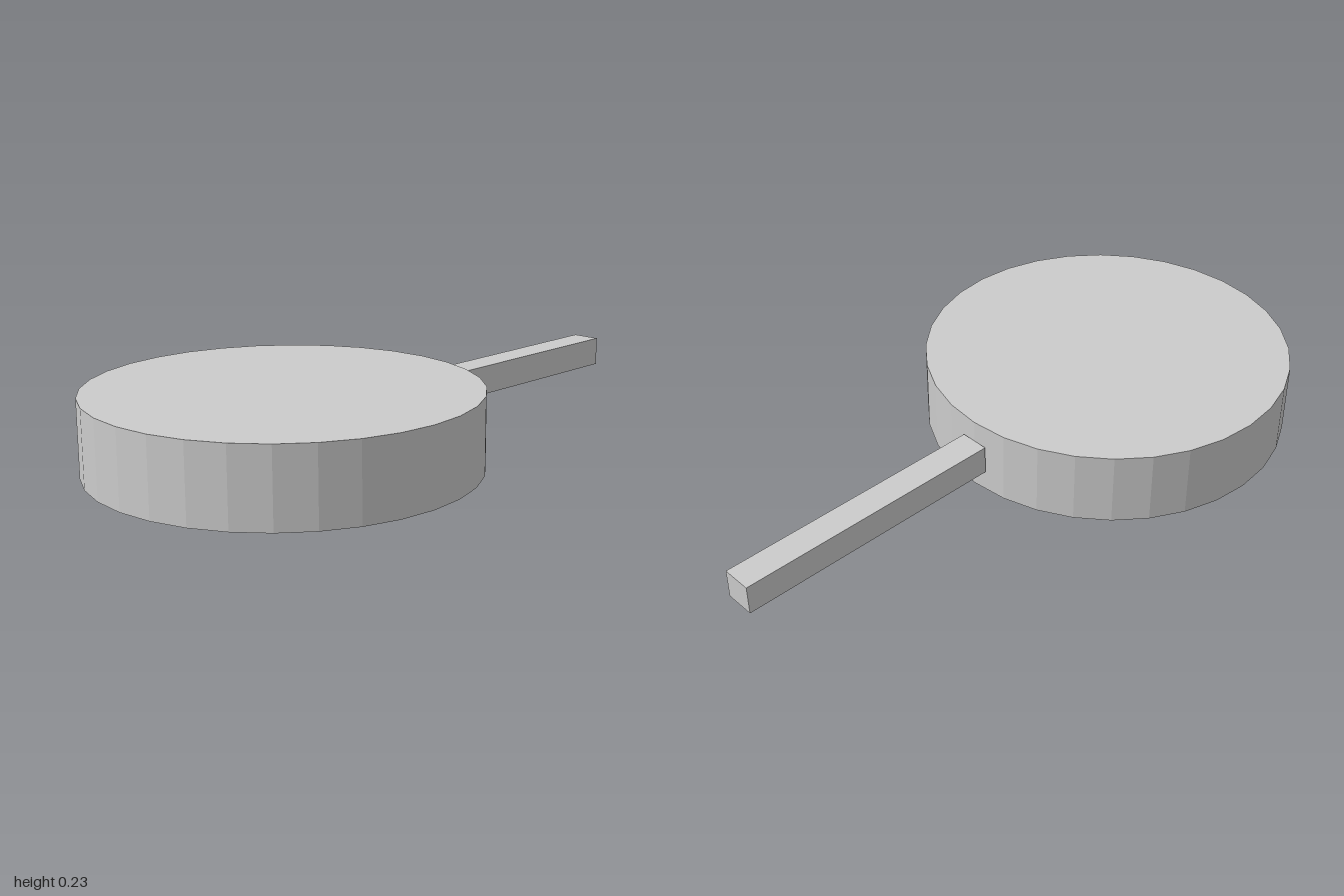
import * as THREE from 'three';

export function createModel() {
  const group = new THREE.Group();
  const material = new THREE.MeshStandardMaterial({ color: 0xcccccc, flatShading: true });
  const radius = 0.5714, height = 0.2286;
  const handleLength = 0.857, handleWidth = 0.0914;

  function addPart(name, geometry, x) {
    const mesh = new THREE.Mesh(geometry, material);
    mesh.name = name;
    mesh.position.set(x, height / 2, 0);
    group.add(mesh);
  }

  // Round, closed pan body
  addPart('panBody', new THREE.CylinderGeometry(radius, radius, height, 32), -1 + radius);

  // Square bar handle meeting the rim at mid height
  addPart('handle', new THREE.BoxGeometry(handleLength, handleWidth, handleWidth), 1 - handleLength / 2);

  return group;
}
